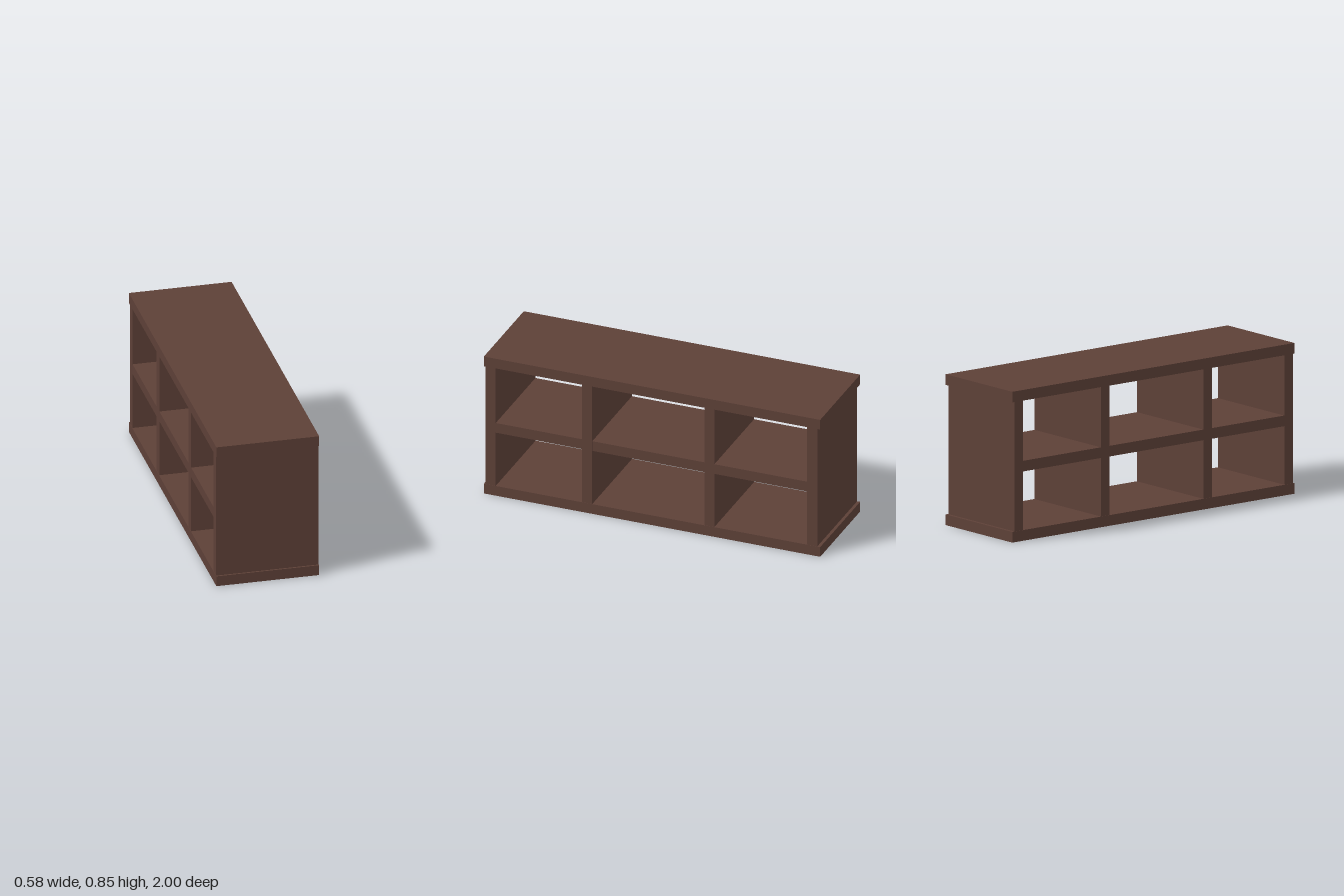
import * as THREE from 'three';

export function createModel() {
  const group = new THREE.Group();
  group.name = 'shelfUnit';

  const darkWood = new THREE.MeshStandardMaterial({ color: 0x5d4037 });
  darkWood.name = 'darkWood';

  const T = 0.06; // board thickness
  const H = 0.85; // overall height

  const board = (name, w, h, d, y, z) => {
    const mesh = new THREE.Mesh(new THREE.BoxGeometry(w, h, d), darkWood);
    mesh.name = name;
    mesh.position.set(0, y, z);
    group.add(mesh);
  };

  // Top and bottom slabs, slightly overhanging the uprights
  board('topSlab', 0.583, T, 2, H - T / 2, 0);
  board('bottomSlab', 0.583, T, 2, T / 2, 0);

  // End panels and the two inner dividers
  const uprights = [
    ['frontPanel', 0.96],
    ['frontDivider', 0.386],
    ['backDivider', -0.34],
    ['backPanel', -0.952],
  ];
  for (const [name, z] of uprights) board(name, 0.58, H - 2 * T, T, H / 2, z);

  // Middle shelf, one board in each bay
  for (let i = 0; i < uprights.length - 1; i++) {
    const z0 = uprights[i][1] - T / 2;
    const z1 = uprights[i + 1][1] + T / 2;
    board('shelf' + (i + 1), 0.579, T, z0 - z1, 0.42, (z0 + z1) / 2);
  }

  return group;
}
